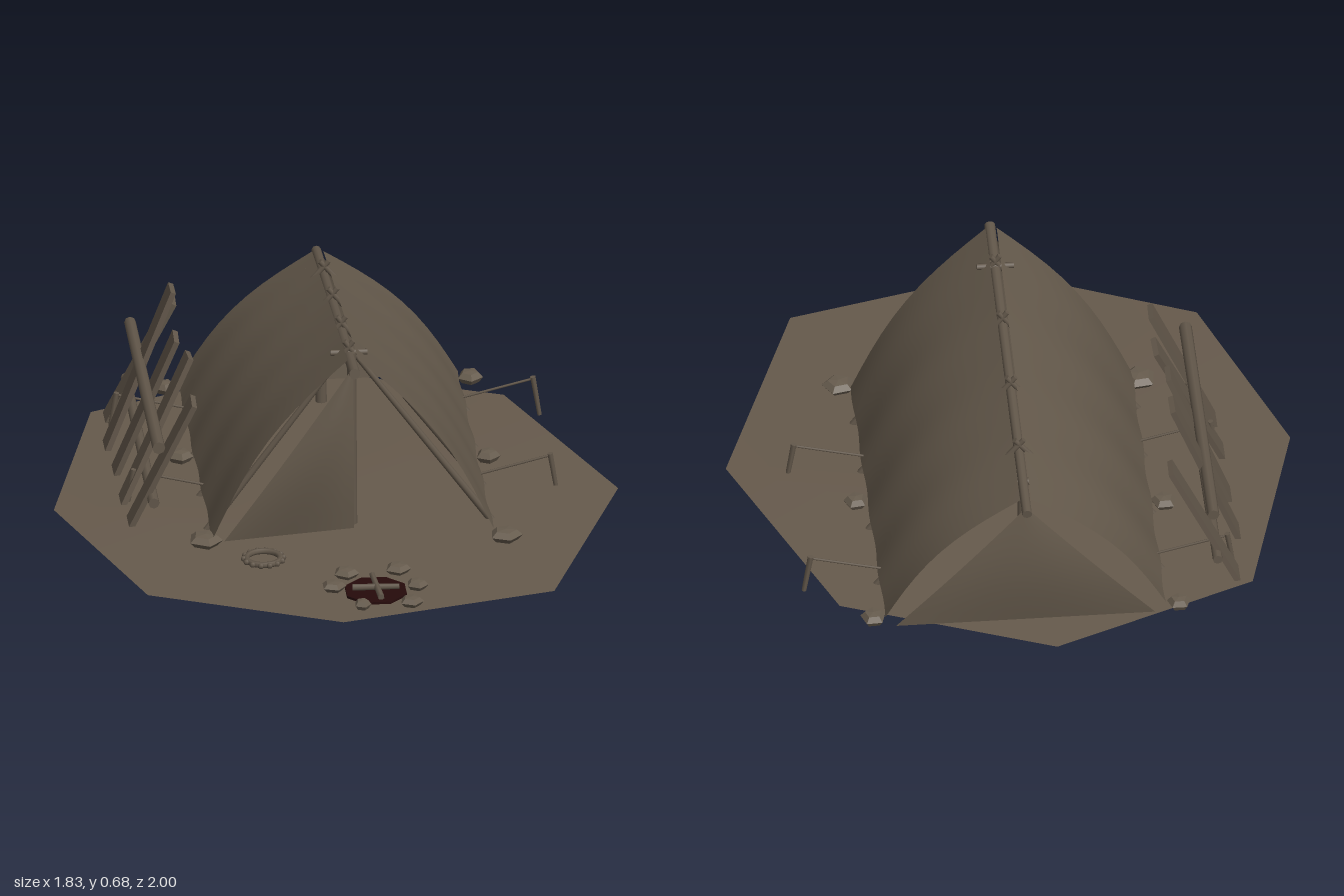
import * as THREE from 'three';

const mat = (name, color, extra = {}) => {
  const m = new THREE.MeshStandardMaterial({ color, ...extra });
  m.name = name;
  return m;
};

export function createModel() {
  const root = new THREE.Group();
  root.name = 'tentCamp';
  const earth = mat('earth', 0x665a4c, { side: THREE.DoubleSide });
  const canvas = mat('canvas', 0x64594b, { side: THREE.DoubleSide });
  const wood = mat('wood', 0x62574a);
  const stone = mat('stone', 0x675c4e, { flatShading: true });
  const ember = mat('ember', 0x260b0b);

  const group = (name) => {
    const g = new THREE.Group();
    g.name = name;
    root.add(g);
    return g;
  };
  const add = (parent, name, geo, material, pos = [0, 0, 0]) => {
    const m = new THREE.Mesh(geo, material);
    m.name = name;
    m.position.set(...pos);
    parent.add(m);
    return m;
  };
  // Round stick between two points
  const stick = (parent, name, a, b, r0, r1 = r0, sides = 8) => {
    const A = new THREE.Vector3(...a), B = new THREE.Vector3(...b);
    const d = B.clone().sub(A);
    const m = add(parent, name, new THREE.CylinderGeometry(r1, r0, d.length(), sides), wood);
    m.position.copy(A).add(B).multiplyScalar(0.5);
    m.quaternion.setFromUnitVectors(new THREE.Vector3(0, 1, 0), d.normalize());
    return m;
  };
  // Smooth sheet from a rule (u, v) -> [x, y, z]
  const sheet = (parent, name, fn, nu = 10, nv = 10) => {
    const geo = new THREE.PlaneGeometry(1, 1, nu, nv);
    const p = geo.attributes.position;
    for (let i = 0; i < p.count; i++) p.setXYZ(i, ...fn(p.getX(i) + 0.5, 0.5 - p.getY(i)));
    geo.computeVertexNormals();
    return add(parent, name, geo, canvas);
  };

  // Ground: eight-sided sheet, slightly raised in the middle
  const rim = [[-0.07, -1], [0.61, -0.72], [0.91, 0.04], [0.63, 0.82],
    [-0.07, 1], [-0.68, 0.73], [-0.92, 0.04], [-0.73, -0.71]];
  const pts = [0, 0.045, 0], idx = [];
  for (const [s, y] of [[0.4, 0.032], [1, 0.025]]) rim.forEach(([x, z]) => pts.push(x * s, y, z * s));
  for (let i = 0; i < 8; i++) {
    const a = 1 + i, b = 1 + (i + 1) % 8;
    idx.push(0, b, a, a, b, b + 8, a, b + 8, a + 8);
  }
  const groundGeo = new THREE.BufferGeometry();
  groundGeo.setAttribute('position', new THREE.Float32BufferAttribute(pts, 3));
  groundGeo.setIndex(idx);
  groundGeo.computeVertexNormals();
  add(root, 'ground', groundGeo, earth);

  // Tent frame: sloping ridge pole, uprights and rafters
  const CX = 0.018;
  const ridgeY = (z) => 0.622 + (z / 1.22) * 0.145;
  const frame = group('tentFrame');
  stick(frame, 'ridgePole', [CX, 0.648, 0.44], [CX, 0.485, -0.89], 0.018, 0.016, 10);
  stick(frame, 'frontPole', [CX + 0.008, 0, 0.25], [CX + 0.008, 0.64, 0.25], 0.019, 0.015, 10);
  stick(frame, 'backPole', [CX, 0, -0.72], [CX, 0.5, -0.72], 0.019, 0.015, 10);
  stick(frame, 'backPeg', [CX - 0.05, 0.49, -0.72], [CX + 0.05, 0.49, -0.72], 0.011);
  stick(frame, 'frontPeg', [CX - 0.06, 0.635, 0.24], [CX + 0.06, 0.635, 0.24], 0.01);
  for (const z of [0.24, -0.02, -0.32, -0.61]) {
    for (const s of [-1, 1]) {
      stick(frame, 'rafter', [CX + s * 0.475, 0.005, z], [CX - s * 0.015, ridgeY(z) + 0.025, z], 0.013, 0.009);
    }
  }

  // Roof panels bulging outward on each side
  const tent = group('tentCanvas');
  for (const s of [-1, 1]) {
    sheet(tent, s > 0 ? 'leftRoof' : 'rightRoof', (u, v) => {
      const z = THREE.MathUtils.lerp(0.39, -0.84, v);
      const top = THREE.MathUtils.lerp(0.675, 0.505, v);
      const out = 0.05 * Math.sin(Math.PI * u) + 0.004 * Math.sin(v * Math.PI * 8) * u;
      return [CX + s * (0.018 + 0.437 * u + out * 0.8), top + (0.06 - top) * u + out * 0.6, z];
    }, 10, 32);
  }
  // End walls: triangles that belly outward
  const wall = (name, top, z, xl, xr, yl, yr, belly) => sheet(tent, name, (u, w) => {
    const v = 0.01 + 0.99 * w;
    const x = xl + (xr - xl) * u, y = yl + (yr - yl) * u;
    return [CX + (x - CX) * v, top + (y - top) * v,
      z + belly * Math.sin(Math.PI * v) * (0.4 + 0.6 * Math.sin(Math.PI * u))];
  });
  wall('frontFlap', 0.65, 0.39, -0.4, 0.02, 0.05, 0.08, 0.036);
  wall('backWall', 0.49, -0.862, -0.4, 0.44, 0.04, 0.04, -0.024);

  // Guy ropes with leaning stakes
  const guys = group('guyLines');
  for (const s of [-1, 1]) {
    for (const z of [0, -0.6]) {
      const foot = CX + s * 0.697, tip = CX + s * 0.675;
      stick(guys, 'rope', [CX + s * 0.44, 0.075, z], [tip, 0.133, z], 0.004, 0.004, 6);
      stick(guys, 'stake', [foot, 0.005, z], [tip, 0.14, z], 0.008, 0.01, 6);
    }
  }

  // Leaning plank rack with two rails
  const rack = group('plankRack');
  const planks = [[-0.65, -0.69, -0.47, 0.44, 0.05], [-0.45, -0.71, -0.49, 0.56, -0.03],
    [-0.23, -0.7, -0.5, 0.5, 0.06], [-0.04, -0.7, -0.47, 0.5, -0.1], [0.17, -0.69, -0.48, 0.45, 0.06]];
  for (const [z, x0, x1, top, tilt] of planks) {
    const m = add(rack, 'plank', new THREE.BoxGeometry(0.018, Math.hypot(x1 - x0, top), 0.085), wood,
      [(x0 + x1) / 2, top / 2 + 0.008, z]);
    m.rotation.set(tilt, 0, -Math.atan2(x1 - x0, top), 'ZXY');
  }
  stick(rack, 'upperRail', [-0.6, 0.33, 0.26], [-0.6, 0.325, -0.74], 0.021, 0.019, 8);
  stick(rack, 'lowerRail', [-0.615, 0.13, 0.25], [-0.615, 0.135, -0.73], 0.018, 0.016, 8);

  // Stones: squat five-sided lumps
  const stones = group('stones');
  const stoneGeo = new THREE.LatheGeometry(
    [[0, -1], [0.7, -0.9], [1, 0], [0.65, 0.85], [0, 1]].map((p) => new THREE.Vector2(...p)), 5);
  const putStone = (name, x, z, r, h, i) => {
    const m = add(stones, name, stoneGeo, stone, [x, 0.03 + h, z]);
    m.scale.set(r, h, r * 0.95);
    m.rotation.y = i * 1.3;
  };
  [[-0.48, -0.83, 0.04], [0.51, -0.82, 0.045], [-0.48, -0.29, 0.045], [0.51, -0.2, 0.042],
    [-0.46, 0.37, 0.06], [0.51, 0.42, 0.055]].forEach(([x, z, r], i) => putStone('edgeStone', x, z, r, 0.02, i));
  [[-0.03, 0.66, 0.044], [0.14, 0.64, 0.045], [0.19, 0.77, 0.038], [0.16, 0.9, 0.04],
    [0.0, 0.91, 0.03], [-0.08, 0.76, 0.042]].forEach(([x, z, r], i) => putStone('fireStone', x, z, r, 0.016, i + 2));

  // Fire pit with crossed sticks
  const fire = group('firePit');
  add(fire, 'ashBed', new THREE.CylinderGeometry(0.105, 0.105, 0.008, 8), ember, [0.055, 0.032, 0.78])
    .rotation.y = Math.PI / 8;
  stick(fire, 'fireStick', [-0.02, 0.045, 0.775], [0.13, 0.05, 0.79], 0.011, 0.009, 6);
  stick(fire, 'fireStick', [0.065, 0.045, 0.86], [0.05, 0.055, 0.7], 0.011, 0.009, 6);

  // Small knotted ring lying on the ground
  const ring = group('knottedRing');
  ring.position.set(-0.285, 0.045, 0.52);
  add(ring, 'coil', new THREE.TorusGeometry(0.055, 0.01, 6, 24), wood).rotation.x = Math.PI / 2;
  for (let i = 0; i < 14; i++) {
    const a = (i / 14) * Math.PI * 2;
    add(ring, 'knot', new THREE.SphereGeometry(0.01, 6, 4), wood, [0.064 * Math.cos(a), 0, 0.064 * Math.sin(a)]);
  }
  return root;
}
